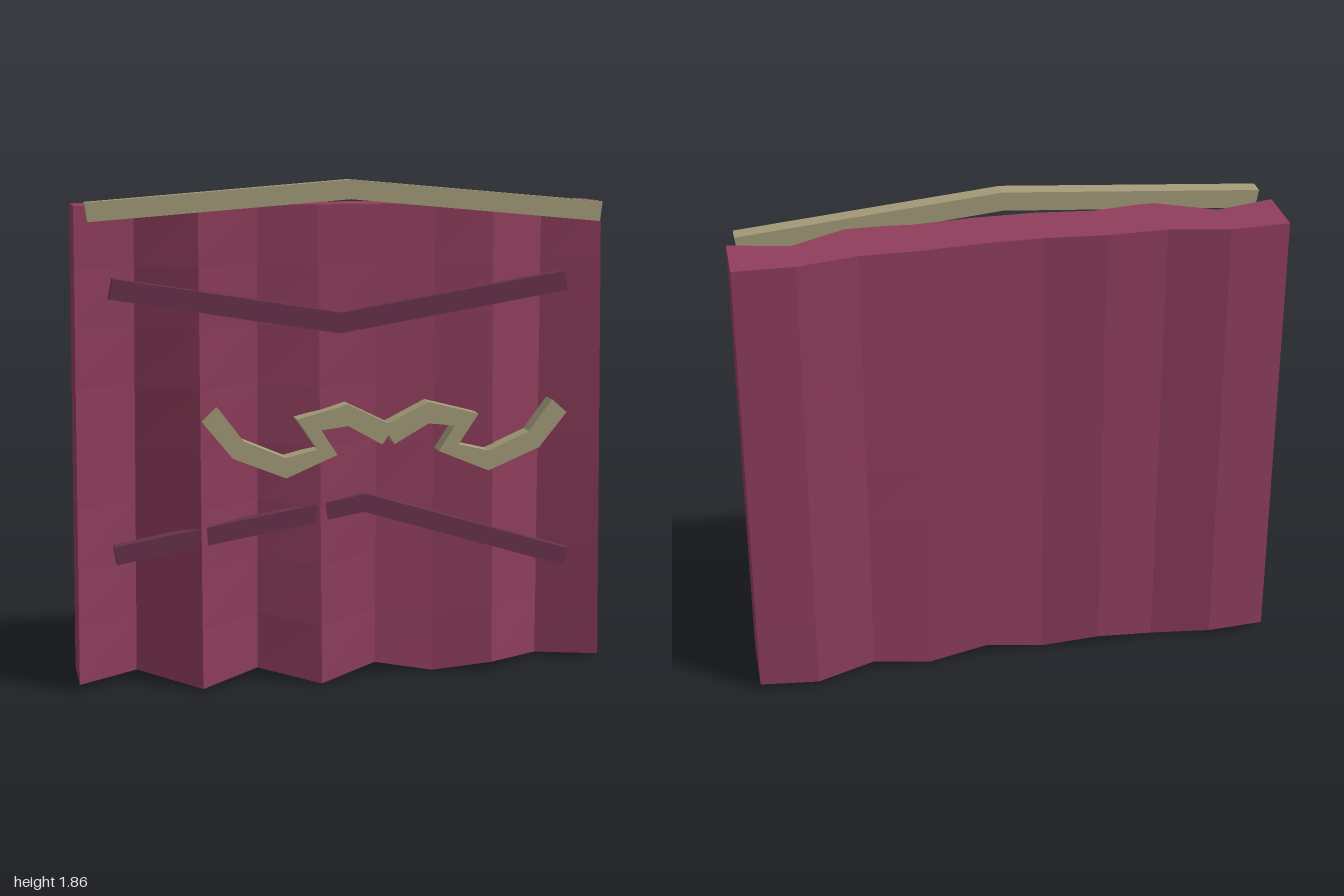
import * as THREE from 'three';

const CLOTH = 0x8f3e5c, BAND = 0x69324b, GOLD = 0xa39b78;
const COLS = 10, ROWS = 8, TOP = 1.775;

// Depth of the front and back faces at each fold, and the wavy hem
const frontTop = [0.045, -0.005, 0.1, 0.075, 0.1, 0.1, 0.085, 0.105, -0.005, 0.045];
const frontHem = [0.07, -0.065, 0.165, 0.035, 0.165, 0.07, 0.08, 0.128, -0.035, 0.07];
const backTop = [-0.165, -0.175, -0.13, -0.135, -0.115, -0.115, -0.13, -0.13, -0.17, -0.165];
const backHem = [-0.168, -0.185, -0.13, -0.15, -0.115, -0.125, -0.13, -0.127, -0.183, -0.17];
const hemY = [0.025, 0.03, 0.01, 0.04, 0.003, 0.045, 0.003, 0.035, 0.015, 0.025];

const material = (color) => new THREE.MeshStandardMaterial({ color, flatShading: true });

// Thick pleated cloth: closed rings of front and back points, lofted upwards
function pleatedCloth() {
  const lerp = THREE.MathUtils.lerp;
  const point = (hem, top, i, t) => [
    (i / (COLS - 1) * 2 - 1) * lerp(1, 0.982, t),
    lerp(hemY[i], TOP, t),
    lerp(hem[i], top[i], t),
  ];
  const rings = [];
  for (let r = 0; r <= ROWS; r++) {
    const ring = [];
    for (let i = 0; i < COLS; i++) ring.push(point(frontHem, frontTop, i, r / ROWS));
    for (let i = COLS - 1; i >= 0; i--) ring.push(point(backHem, backTop, i, r / ROWS));
    rings.push(ring);
  }
  const positions = [];
  const quad = (a, b, c, d) => positions.push(...a, ...b, ...c, ...a, ...c, ...d);
  const n = COLS * 2;
  for (let r = 0; r < ROWS; r++) {
    for (let i = 0; i < n; i++) {
      const j = (i + 1) % n;
      quad(rings[r][i], rings[r][j], rings[r + 1][j], rings[r + 1][i]);
    }
  }
  // Top and hem faces
  const low = rings[0], high = rings[ROWS];
  for (let i = 0; i < COLS - 1; i++) {
    const b = n - 1 - i;
    quad(high[i], high[i + 1], high[b - 1], high[b]);
    quad(low[b], low[b - 1], low[i + 1], low[i]);
  }
  const geometry = new THREE.BufferGeometry();
  geometry.setAttribute('position', new THREE.Float32BufferAttribute(positions, 3));
  geometry.computeVertexNormals();
  return geometry;
}

// Flat outline extruded between two depths
function strip(name, outline, zBack, zFront, color) {
  const shape = new THREE.Shape(outline.map(([x, y]) => new THREE.Vector2(x, y)));
  const geometry = new THREE.ExtrudeGeometry(shape, { depth: zFront - zBack, bevelEnabled: false });
  geometry.translate(0, 0, zBack);
  const mesh = new THREE.Mesh(geometry, material(color));
  mesh.name = name;
  return mesh;
}

export function createModel() {
  const group = new THREE.Group();
  group.name = 'hangingBanner';

  const cloth = new THREE.Mesh(pleatedCloth(), material(CLOTH));
  cloth.name = 'cloth';
  group.add(cloth);

  // Bent rail along the top
  group.add(strip('topRail', [
    [-0.94, 1.724], [0, 1.795], [0.94, 1.706], [0.95, 1.778], [0, 1.865], [-0.95, 1.792],
  ], 0.095, 0.155, GOLD));

  // Two bent bands, the lower one partly swallowed by the pleats
  group.add(strip('upperBand', [
    [-0.87, 1.45], [-0.035, 1.31], [0.83, 1.452], [0.815, 1.522], [-0.03, 1.385], [-0.855, 1.522],
  ], 0.085, 0.135, BAND));
  group.add(strip('lowerBand', [
    [-0.86, 0.485], [0.055, 0.643], [0.828, 0.403], [0.85, 0.467], [0.065, 0.71], [-0.87, 0.552],
  ], 0.085, 0.135, BAND));

  // Curled ornament: half an outline, mirrored about its own middle
  const middle = 0.136;
  const lower = [[-0.545, 1.0], [-0.44, 0.87], [-0.245, 0.79], [-0.055, 0.87], [-0.115, 0.963],
    [-0.015, 0.975], [0.113, 0.902]];
  const upper = [[-0.015, 1.055], [-0.205, 1.005], [-0.13, 0.893], [-0.245, 0.865], [-0.4, 0.932],
    [-0.488, 1.05]];
  const mirror = (points) => points.map(([x, y]) => [2 * middle - x, y]).reverse();
  group.add(strip('ornament', [
    ...lower, [middle, 0.937], ...mirror(lower), ...mirror(upper), [middle, 0.98], ...upper,
  ], 0.11, 0.182, GOLD));

  return group;
}
